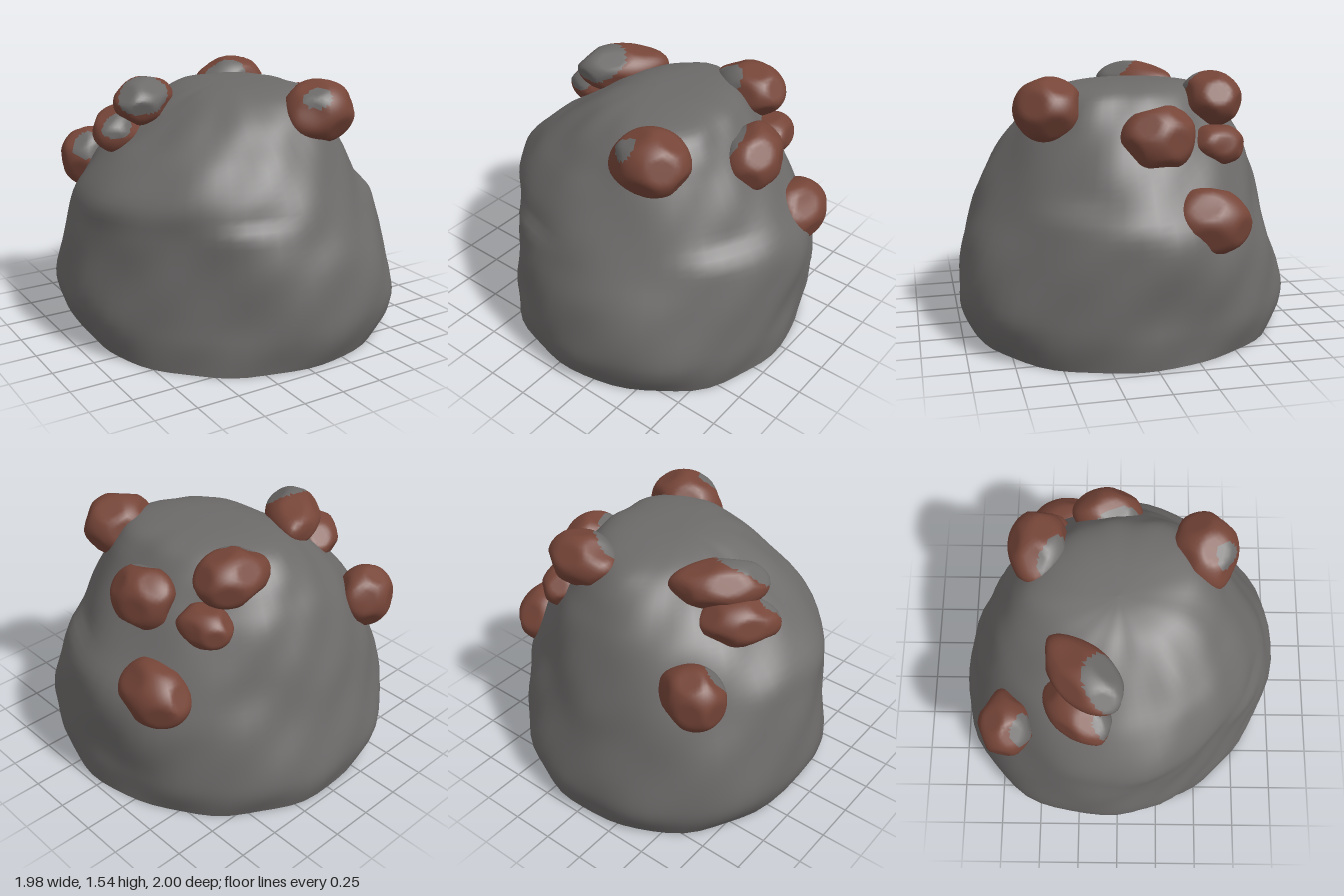
import * as THREE from 'three';
import { toCreasedNormals } from 'three/addons/utils/BufferGeometryUtils.js';

// Rock cross-sections: height, then radius every 45 degrees from +x towards +z
const LEVELS = [
  [0, 0.955, 0.98, 0.93, 0.91, 0.87, 0.94, 0.96, 0.93],
  [0.15, 0.96, 1.04, 0.98, 0.90, 0.95, 1.02, 1.0, 0.98],
  [0.3, 0.96, 1.05, 0.99, 0.875, 0.99, 1.03, 0.98, 0.98],
  [0.55, 0.99, 0.98, 0.97, 0.85, 0.96, 0.98, 0.90, 0.94],
  [0.75, 0.97, 0.89, 0.90, 0.84, 0.93, 0.91, 0.86, 0.86],
  [0.92, 0.85, 0.81, 0.83, 0.83, 0.89, 0.83, 0.81, 0.80],
  [1.1, 0.72, 0.73, 0.72, 0.72, 0.72, 0.73, 0.74, 0.72],
  [1.22, 0.63, 0.67, 0.63, 0.60, 0.56, 0.62, 0.67, 0.64],
  [1.34, 0.54, 0.60, 0.53, 0.45, 0.40, 0.48, 0.58, 0.56],
  [1.43, 0.44, 0.50, 0.39, 0.30, 0.25, 0.32, 0.46, 0.46],
  [1.47, 0.27, 0.28, 0.22, 0.14, 0.12, 0.16, 0.26, 0.30],
  [1.48, 0, 0, 0, 0, 0, 0, 0, 0],
];
const SEGMENTS = 64, ROWS = 48;

function spline(a, b, c, d, t) {
  return b + 0.5 * t * (c - a + t * (2 * a - 5 * b + 4 * c - d + t * (3 * (b - c) + d - a)));
}

// One value of the section table, smoothed between heights
function column(row, k) {
  const s = (row / ROWS) * (LEVELS.length - 1);
  const i = Math.min(Math.floor(s), LEVELS.length - 2);
  const at = (n) => LEVELS[THREE.MathUtils.clamp(n, 0, LEVELS.length - 1)][k];
  return spline(at(i - 1), at(i), at(i + 1), at(i + 2), s - i);
}

// Small broken shelf: proud below its height, set back above it
function ledge(a, y, angle, height) {
  const dy = y - height, da = (a - angle) / 0.22;
  return -0.025 * Math.tanh(dy * 30) * Math.exp(-dy * dy * 50 - da * da);
}

function rockPoint(row, seg) {
  const s = (seg / SEGMENTS) * 8, k = Math.floor(s);
  const at = (n) => column(row, 1 + ((n + 8) % 8));
  let r = spline(at(k - 1), at(k), at(k + 1), at(k + 2), s - k);
  let y = Math.max(0, column(row, 0));
  const a = (seg / SEGMENTS) * Math.PI * 2;
  // Gentle weathering, fading out at the crown
  r += 0.005 * Math.min(1, r * 2) * (Math.sin(5 * a + 6 * y) + Math.sin(9 * a - 8 * y + 2) + Math.sin(13 * a + 15 * y));
  r += ledge(a, y, 0.45, 0.86) + ledge(a, y, 1.95, 0.82);
  if (row === ROWS) r = 0;
  const x = r * Math.cos(a), z = r * Math.sin(a);
  y += 0.05 * x * Math.pow(y / 1.48, 6);
  return [x, y, z];
}

function rockGeometry() {
  const pos = [], index = [];
  for (let i = 0; i <= ROWS; i++) {
    for (let j = 0; j < SEGMENTS; j++) {
      pos.push(...rockPoint(i, j));
      if (i === ROWS) continue;
      const a = i * SEGMENTS + j, b = i * SEGMENTS + ((j + 1) % SEGMENTS);
      index.push(a, a + SEGMENTS, b);
      if (i < ROWS - 1) index.push(b, a + SEGMENTS, b + SEGMENTS);
    }
  }
  const g = new THREE.BufferGeometry();
  g.setAttribute('position', new THREE.Float32BufferAttribute(pos, 3));
  g.setIndex(index);
  g.computeVertexNormals();
  return g;
}

function baseGeometry() {
  const pts = [];
  for (let j = 0; j < SEGMENTS; j++) {
    const [x, , z] = rockPoint(0, j);
    pts.push(new THREE.Vector2(x, z));
  }
  return new THREE.ShapeGeometry(new THREE.Shape(pts)).rotateX(Math.PI / 2);
}

// Evenly spread, seeded directions of the flat breaks on a nodule
function breakPlanes(seed, count) {
  return Array.from({ length: count }, (_, i) => {
    const y = 1 - (2 * i + 1) / count, r = Math.sqrt(1 - y * y), a = 2.4 * i + seed;
    return new THREE.Vector3(r * Math.cos(a), y, r * Math.sin(a))
      .applyAxisAngle(new THREE.Vector3(1, 0, 0), seed * 1.7);
  });
}

// Chipped ore chunk with one pointed end; faces around `bare` are plain rock.
// `size` gives the half extents of the finished chunk.
function noduleGeometry({ size, tip, bare, limit, seed }) {
  const p = new THREE.IcosahedronGeometry(1, 8).attributes.position;
  const point = new THREE.Vector3(...tip).normalize();
  const patch = new THREE.Vector3(...bare).normalize();
  const planes = breakPlanes(seed, 11);
  const v = new THREE.Vector3(), faces = [[], []];
  for (let i = 0; i < p.count; i += 3) {
    const tri = [], mid = new THREE.Vector3();
    for (let k = 0; k < 3; k++) {
      v.fromBufferAttribute(p, i + k).normalize();
      mid.add(v);
      let r = 1.04;
      for (const n of planes) r = Math.min(r, 0.94 / Math.max(0.1, v.dot(n)));
      r += 0.18 * Math.pow(Math.max(0, v.dot(point)), 6);
      tri.push(v.x * r, v.y * r, v.z * r);
    }
    faces[mid.normalize().dot(patch) > limit ? 1 : 0].push(...tri);
  }
  let g = new THREE.BufferGeometry();
  g.setAttribute('position', new THREE.Float32BufferAttribute([...faces[0], ...faces[1]], 3));
  g.center();
  const { max } = g.boundingBox;
  g.scale(size[0] / max.x, size[1] / max.y, size[2] / max.z);
  g = toCreasedNormals(g, 0.7);
  g.clearGroups();
  g.addGroup(0, faces[0].length / 3, 0);
  g.addGroup(faces[0].length / 3, faces[1].length / 3, 1);
  return g;
}

const NODULES = [
  { name: 'frontNodule', at: [0.34, 1.35, 0.485], size: [0.23, 0.185, 0.2], tip: [-1, -0.4, 0.4], bare: [-0.42, 0.57, 0.6], limit: 0.925, seed: 1 },
  { name: 'upperLeftNodule', at: [0.33, 1.385, -0.46], size: [0.23, 0.155, 0.175], tip: [-1, 0, -0.2], bare: [-0.6, 0.5, 0.7], limit: 0.78, seed: 2.2 },
  { name: 'lowerLeftNodule', at: [0.51, 1.135, -0.445], size: [0.135, 0.12, 0.165], tip: [0.7, 0.3, 0.4], bare: [-1, 0, 0], limit: 2, seed: 3.1 },
  { name: 'middleLeftNodule', at: [0.63, 1.205, -0.07], size: [0.165, 0.19, 0.21], tip: [-0.1, 0.6, -0.6], bare: [-0.85, 0.55, 0.45], limit: 0.72, seed: 4 },
  { name: 'sideNodule', at: [0.785, 0.77, -0.325], size: [0.175, 0.19, 0.24], tip: [-0.2, 0.9, 0.1], bare: [-1, 0, 0], limit: 2, seed: 5.3 },
  { name: 'rearNodule', at: [-0.58, 0.965, -0.645], size: [0.19, 0.185, 0.16], tip: [1, 0.3, -0.2], bare: [-0.35, 0.6, 0.72], limit: 0.86, seed: 6.1 },
  { name: 'lowerRightNodule', at: [-0.575, 1.22, -0.22], size: [0.23, 0.14, 0.155], turn: Math.PI / 4, tip: [-1, -0.3, 0], bare: [-0.88, 0.4, 0.32], limit: 0.86, seed: 7.4 },
  { name: 'upperRightNodule', at: [-0.42, 1.38, -0.195], size: [0.28, 0.14, 0.165], turn: Math.PI / 4, tip: [1, 0.2, 0], bare: [-0.75, 0.6, 0.35], limit: 0.57, seed: 8.2 },
];

export function createModel() {
  const stone = new THREE.MeshStandardMaterial({ color: 0x6d6b6a });
  stone.name = 'stone grey';
  const ore = new THREE.MeshStandardMaterial({ color: 0x764538 });
  ore.name = 'ore brown';

  const model = new THREE.Group();
  model.name = 'oreBoulder';
  const add = (name, geometry, material) => {
    const mesh = new THREE.Mesh(geometry, material);
    mesh.name = name;
    model.add(mesh);
    return mesh;
  };

  add('boulder', rockGeometry(), stone);
  add('boulderBase', baseGeometry(), stone);
  for (const n of NODULES) {
    const mesh = add(n.name, noduleGeometry(n), [ore, stone]);
    mesh.position.set(...n.at);
    mesh.rotation.y = n.turn || 0;
  }
  return model;
}
